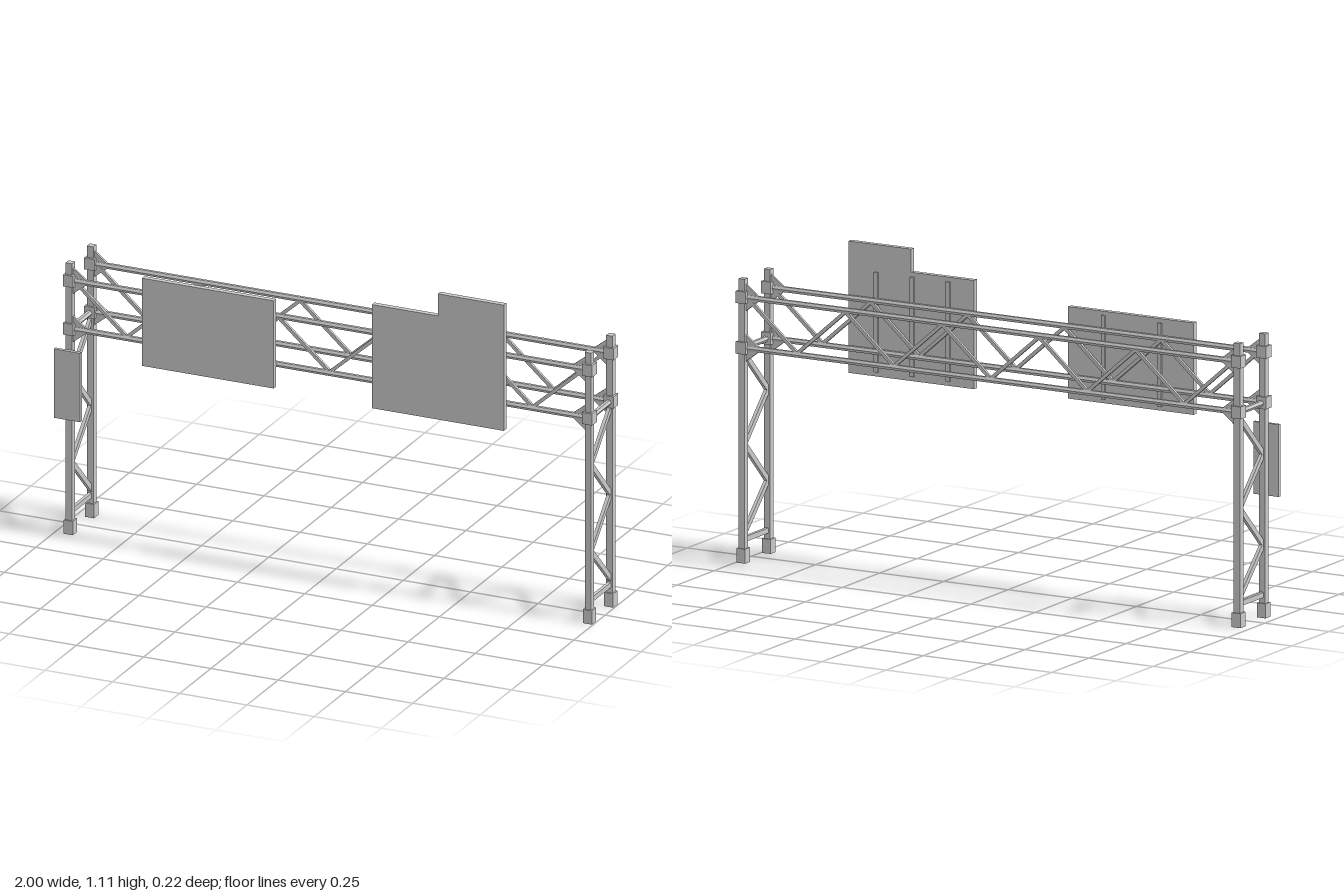
import * as THREE from 'three';

export function createModel() {
  const model = new THREE.Group();
  model.name = 'signGantry';
  const steel = new THREE.MeshStandardMaterial({ color: 0xc9c9c9, flatShading: true });
  steel.name = 'light grey steel';

  const add = (name, geometry) => {
    const mesh = new THREE.Mesh(geometry, steel);
    mesh.name = name;
    model.add(mesh);
    return mesh;
  };
  const box = (name, w, h, d, x, y, z) =>
    add(name, new THREE.BoxGeometry(w, h, d)).position.set(x, y, z);

  // A member between two points; profile(length) gives its geometry along y
  const strut = (name, a, b, profile) => {
    const from = new THREE.Vector3(...a), to = new THREE.Vector3(...b);
    const dir = to.clone().sub(from);
    const mesh = add(name, profile(dir.length()));
    mesh.position.copy(from).add(to).multiplyScalar(0.5);
    mesh.quaternion.setFromUnitVectors(new THREE.Vector3(0, 1, 0), dir.normalize());
  };
  const hexPipe = (length) => new THREE.CylinderGeometry(0.0105, 0.0105, length, 6);
  const turnedHexPipe = (length) => hexPipe(length).rotateY(Math.PI / 6);
  const webBar = (length) => new THREE.BoxGeometry(0.012, length, 0.01);
  const legBar = (length) => new THREE.BoxGeometry(0.012, length, 0.019);

  // A flat plate cut from an outline in the xy plane, starting at depth z
  const plate = (name, points, z, depth) => {
    const shape = new THREE.Shape(points.map(([x, y]) => new THREE.Vector2(x, y)));
    add(name, new THREE.ExtrudeGeometry(shape, { depth, bevelEnabled: false })).position.z = z;
  };

  const xs = [-0.95, 0.979], zs = [0.08, -0.09], chordYs = [0.742, 0.917];

  // Posts with base blocks, collars and gussets
  for (const x of xs) {
    const inward = x < 0 ? 1 : -1;
    for (const z of zs) {
      box('post', 0.024, 0.982, 0.024, x, 0.491, z);
      box('baseBlock', 0.034, 0.05, 0.034, x, 0.025, z);
      for (const y of chordYs) {
        box('collar', 0.038, 0.042, 0.038, x, y + 0.002, z);
        plate('gusset', [
          [x + inward * 0.01, y - 0.048],
          [x + inward * 0.065, y - 0.005],
          [x + inward * 0.065, y + 0.005],
          [x + inward * 0.01, y + 0.048],
        ], z - 0.004, 0.008);
      }
    }

    // Leg bracing between front and back posts
    strut('legTie', [x, 0.742, zs[0]], [x, 0.742, zs[1]], turnedHexPipe);
    box('legFootTie', 0.012, 0.018, 0.17, x, 0.079, -0.005);
    const zigzag = [[-0.085, 0.72], [0.072, 0.567], [-0.085, 0.407], [0.072, 0.253], [-0.085, 0.1]];
    for (let i = 0; i < 4; i++) {
      const [z0, y0] = zigzag[i], [z1, y1] = zigzag[i + 1];
      strut('legBrace', [x, y0, z0], [x, y1, z1], legBar);
    }
  }

  // Horizontal chords and zigzag webs, front and back
  const panel = 0.377;
  for (const z of zs) {
    for (const y of chordYs) strut('chord', [xs[0], y, z], [xs[1], y, z], hexPipe);
    for (let i = 0; i < 5; i++) {
      const left = -0.928 + i * panel, mid = left + panel / 2;
      strut('webBrace', [left, 0.912, z], [mid, 0.746, z], webBar);
      strut('webBrace', [mid, 0.746, z], [left + panel, 0.912, z], webBar);
    }
  }

  // Sign panels
  box('leftSign', 0.49, 0.318, 0.02, -0.425, 0.823, 0.101);
  plate('steppedSign', [
    [0.185, 0.654], [0.675, 0.654], [0.675, 1.11], [0.43, 1.11], [0.43, 1.03], [0.185, 1.03],
  ], 0.091, 0.02);
  box('postSign', 0.098, 0.25, 0.013, -0.951, 0.543, 0.0985);

  // Upright stiffeners behind the signs
  for (const x of [-0.54, -0.32]) box('signStiffener', 0.015, 0.29, 0.008, x, 0.823, 0.088);
  for (const x of [0.285, 0.425, 0.565]) box('signStiffener', 0.015, 0.345, 0.008, x, 0.842, 0.088);

  return model;
}
